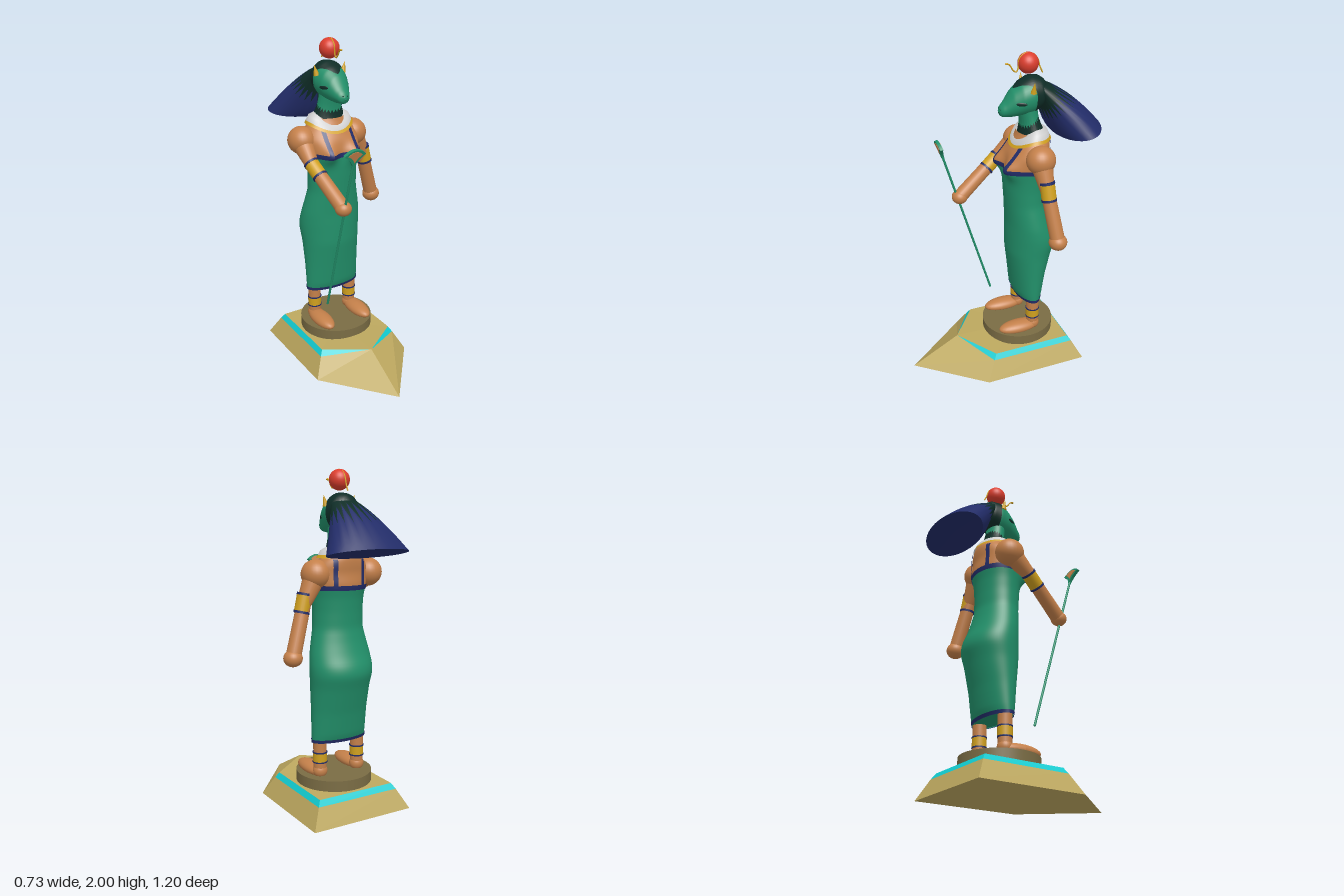
import * as THREE from 'three';

const CX = -0.035; // the figure's own centre line
const mat = (name, color, side = THREE.FrontSide) => {
  const m = new THREE.MeshStandardMaterial({ color, side });
  m.name = name;
  return m;
};
const V = (x, y, z) => new THREE.Vector3(x, y, z);

// Linear table lookup on column 0, softened over a small width
function sample(table, v, w) {
  const at = (k) => {
    let i = 0;
    while (i < table.length - 2 && (k - table[i + 1][0]) * Math.sign(table[1][0] - table[0][0]) > 0) i++;
    const a = table[i], b = table[i + 1];
    const t = THREE.MathUtils.clamp((k - a[0]) / (b[0] - a[0]), 0, 1);
    return a.map((n, j) => n + (b[j] - n) * t);
  };
  const s = [at(v - w), at(v), at(v + w)];
  return s[0].map((_, j) => (s[0][j] + s[1][j] + s[2][j]) / 3);
}

// Skin a list of rings, each ring an array of [x, y, z]
function loft(rings, closed = true, flat = false) {
  const n = rings[0].length, index = [];
  for (let j = 0; j < rings.length - 1; j++)
    for (let i = 0; i < (closed ? n : n - 1); i++) {
      const a = j * n + i, b = j * n + (i + 1) % n;
      index.push(a, a + n, b, b, a + n, b + n);
    }
  let g = new THREE.BufferGeometry();
  g.setAttribute('position', new THREE.Float32BufferAttribute(rings.flat(2), 3));
  g.setIndex(index);
  if (flat) g = g.toNonIndexed();
  g.computeVertexNormals();
  return g;
}
// Grid of rings from a rule f(t, angle, i)
const surface = (rows, seg, f) => loft(Array.from({ length: rows + 1 }, (_, j) =>
  Array.from({ length: seg }, (_, i) => f(j / rows, (i / seg) * Math.PI * 2, i))));
const lerp = THREE.MathUtils.lerp;

// Body cross-sections: y, centre z, half width, half depth
const BODY = [[0.42, -0.175, 0.178, 0.07], [0.45, -0.175, 0.18, 0.087], [0.6, -0.18, 0.182, 0.11],
  [0.75, -0.19, 0.188, 0.14], [0.83, -0.203, 0.196, 0.154], [0.88, -0.2, 0.197, 0.151],
  [0.95, -0.185, 0.19, 0.135], [1.02, -0.172, 0.175, 0.126], [1.1, -0.16, 0.157, 0.12],
  [1.2, -0.157, 0.155, 0.125], [1.28, -0.158, 0.16, 0.13], [1.35, -0.168, 0.17, 0.135],
  [1.42, -0.172, 0.18, 0.122], [1.47, -0.19, 0.16, 0.11], [1.51, -0.2, 0.125, 0.1], [1.54, -0.2, 0.1, 0.085]];
function bodyPoint(y, a, off = 0) {
  const [, zc, hw, hd] = sample(BODY, y, 0.015);
  const x = Math.cos(a) * (hw + off);
  let z = zc + Math.sin(a) * (hd + off);
  if (Math.sin(a) > 0)
    z += 0.055 * Math.exp(-(((Math.abs(x) - 0.09) / 0.05) ** 2) - ((y - 1.345) / 0.055) ** 2);
  return [CX + x, y, z];
}
// Head cross-sections: z, centre y, half width, half height
const HEAD = [[0.006, 1.68, 0.002, 0.002], [0.002, 1.68, 0.022, 0.022], [-0.012, 1.682, 0.038, 0.036],
  [-0.03, 1.69, 0.047, 0.046], [-0.07, 1.717, 0.068, 0.077], [-0.12, 1.74, 0.09, 0.096],
  [-0.18, 1.757, 0.1, 0.109], [-0.235, 1.768, 0.09, 0.092], [-0.27, 1.775, 0.06, 0.06], [-0.29, 1.78, 0.002, 0.002]];
function headPoint(z, a, off = 0) {
  const [, yc, hw, hh] = sample(HEAD, z, 0.004);
  return [CX + Math.cos(a) * (hw + off), yc + Math.sin(a) * (hh + off), z];
}
const NECK = [[1.48, -0.205, 0.115, 0.095], [1.55, -0.197, 0.1, 0.07], [1.6, -0.185, 0.078, 0.056],
  [1.65, -0.175, 0.07, 0.055], [1.74, -0.165, 0.065, 0.06]];
function neckPoint(y, a) {
  const [, zc, hw, hd] = sample(NECK, y, 0.012);
  return [CX + Math.cos(a) * hw, y, zc + Math.sin(a) * hd];
}

export function createModel() {
  const root = new THREE.Group();
  root.name = 'statue';
  const skin = mat('skin', 0xc4804a), green = mat('green', 0x22906a, THREE.DoubleSide),
    navy = mat('navy', 0x222c68, THREE.DoubleSide), dark = mat('darkGreen', 0x0f2d27, THREE.DoubleSide),
    gold = mat('gold', 0xd0a01e), white = mat('white', 0xcfcfcf, THREE.DoubleSide),
    cyan = mat('cyan', 0x12cdd2), red = mat('red', 0xdc3e2e),
    stone = mat('sandstone', 0xbda85f), darkStone = mat('darkStone', 0x7a6c44);

  const add = (name, geo, m, parent = root) => {
    const mesh = new THREE.Mesh(geo, m);
    mesh.name = name;
    parent.add(mesh);
    return mesh;
  };
  const ball = (name, p, sx, sy, sz, m) => {
    const b = add(name, new THREE.SphereGeometry(1, 28, 18), m);
    b.position.copy(p);
    b.scale.set(sx, sy, sz);
    return b;
  };
  const rod = (name, a, b, ra, rb, m) => {
    const d = b.clone().sub(a);
    const c = add(name, new THREE.CylinderGeometry(rb, ra, d.length(), 24), m);
    c.position.copy(a).add(b).multiplyScalar(0.5);
    c.quaternion.setFromUnitVectors(V(0, 1, 0), d.normalize());
  };
  // Gold bracelet with a navy line at each end
  const bracelet = (name, a, b, r) => {
    const at = (t) => a.clone().lerp(b, t);
    rod(name, a, b, r, r, gold);
    rod(name + 'Edge', at(-0.06), at(0.07), r + 0.002, r + 0.002, navy);
    rod(name + 'Edge', at(0.93), at(1.06), r + 0.002, r + 0.002, navy);
  };

  // Pointed plinth with a bevelled inlay, and a round step
  const plan = (hw, zs, za, zb, y, ya) => [[CX + hw, y, zs], [CX, ya, za], [CX - hw, y, zs], [CX - hw, y, zb], [CX + hw, y, zb]];
  const point = (y) => Array(5).fill([CX, y, -0.1]);
  const foot = plan(0.33, 0.2, 0.6, -0.46, 0, 0);
  const low = plan(0.27, 0.14, 0.3, -0.4, 0.115, 0.163);
  const top = plan(0.25, 0.12, 0.3, -0.378, 0.148, 0.163);
  add('plinth', loft([point(0), foot, low], true, true), stone);
  add('plinthInlay', loft([low, top], true, true), cyan);
  add('plinthTop', loft([top, point(0.15)], true, true), stone);
  add('roundStep', new THREE.CylinderGeometry(0.23, 0.23, 0.065, 48), darkStone).position.set(CX, 0.18, -0.125);

  // Legs and feet
  for (const s of [-1, 1]) {
    const x = CX + s * 0.13;
    rod('leg', V(x, 0.22, -0.177), V(x, 0.5, -0.177), 0.039, 0.041, skin);
    bracelet('anklet', V(x, 0.295, -0.177), V(x, 0.355, -0.177), 0.042);
    const f = new THREE.SphereGeometry(1, 28, 18), p = f.attributes.position;
    for (let i = 0; i < p.count; i++) p.setY(i, Math.max(p.getY(i), -0.45));
    f.computeVertexNormals();
    const m = add('foot', f, skin);
    m.position.set(x + s * 0.004, 0.231, -0.082);
    m.scale.set(0.057, 0.04, 0.135);
    ball('heel', V(x, 0.24, -0.178), 0.045, 0.045, 0.043, skin);
  }

  // Dress, its borders and the bare upper torso
  const tube = (y0, y1, rows, off) => surface(rows, 64, (t, a) => bodyPoint(lerp(y0, y1, t), a, off));
  add('dress', tube(0.42, 1.335, 48, 0), green);
  add('dressBottom', surface(1, 64, (t, a) => {
    const p = bodyPoint(0.425, a);
    return [lerp(CX, p[0], t), p[1], lerp(-0.175, p[2], t)];
  }), green);
  add('hem', tube(0.418, 0.438, 2, 0.004), navy);
  add('torso', tube(1.325, 1.54, 20, -0.001), skin);
  add('neckline', tube(1.322, 1.35, 3, 0.004), navy);
  for (const s of [-1, 1]) for (const face of [-1, 1]) {
    const rows = Array.from({ length: 15 }, (_, j) => [-0.012, 0, 0.012].map((d) => {
      const y = lerp(1.335, 1.5, j / 14), hw = sample(BODY, y, 0.015)[2];
      return bodyPoint(y, face * Math.acos((s * 0.09 + d) / (hw + 0.005)), 0.005);
    }));
    add('strap', loft(rows, false), navy);
  }

  // Broad collar, higher at the back: half width, front z, back z, front y, side y, back y
  const collarRing = ([hw, zf, zb, yf, ys, yb]) => Array.from({ length: 48 }, (_, i) => {
    const a = (i / 48) * Math.PI * 2, s = Math.sin(a);
    return [CX + hw * Math.cos(a), ys + (s > 0 ? yf - ys : yb - ys) * s * s, (zf + zb) / 2 + s * (zf - zb) / 2];
  });
  const c0 = [0.152, -0.068, -0.308, 1.455, 1.505, 1.505], c1 = [0.142, -0.08, -0.3, 1.47, 1.522, 1.522],
    c2 = [0.128, -0.095, -0.288, 1.5, 1.55, 1.548], c3 = [0.09, -0.135, -0.26, 1.525, 1.57, 1.56];
  add('collarEdge', loft([c0, c1].map(collarRing)), gold).material = gold;
  add('collar', loft([c1, c2, c3].map(collarRing)), white);

  // Neck with a toothed dark wrap
  const wrapY = (a, i) => 1.605 - 0.03 * Math.sin(a) + (i % 2 ? 0.012 : -0.008);
  add('neckWrap', surface(6, 48, (t, a, i) => neckPoint(lerp(1.48, wrapY(a, i), t), a)), dark);
  add('neck', surface(6, 48, (t, a, i) => neckPoint(lerp(wrapY(a, i), 1.74, t), a)), green);

  // Head, pointed cap, eyes, mouth and ears
  add('head', surface(44, 40, (t, a) => headPoint(lerp(0.006, -0.29, t * (0.6 + 0.4 * t)), a)), green);
  add('cap', surface(14, 48, (t, a) =>
    headPoint(lerp(-0.19 + 0.11 * Math.max(0, Math.sin(a)) ** 4, -0.29, t), a, 0.004)), dark);
  for (const s of [-1, 1]) {
    ball('eye', V(CX + s * 0.08, 1.732, -0.102), 0.005, 0.011, 0.032, dark).rotation.y = -s * 0.45;
    ball('nostril', V(CX + s * 0.014, 1.693, -0.001), 0.005, 0.003, 0.004, dark);
    const ear = add('ear', new THREE.ConeGeometry(0.018, 0.065, 12), gold);
    ear.position.set(CX + s * 0.096, 1.825, -0.17);
    ear.rotation.z = -s * 0.25;
  }
  ball('mouth', V(CX, 1.67, 0), 0.016, 0.002, 0.004, dark);

  // Flared headdress: dark pleat spikes running into navy
  const flare = (t, a) => {
    const c = Math.cos(a), s = Math.sin(a);
    return [CX + lerp(0.095, 0.257, t) * c,
      lerp(1.785 + 0.055 * s, 1.5375 + 0.0325 * s, t) + t * (1 - t) * 0.14 * s,
      lerp(-0.235, -0.47 - 0.13 * s, t)];
  };
  const spike = (a, i) => (i % 2 ? 0.18 : 0.42 + 0.2 * Math.max(0, Math.sin(a)));
  add('headdressSpikes', surface(6, 44, (t, a, i) => flare(t * spike(a, i), a)), dark);
  add('headdress', surface(8, 44, (t, a, i) => flare(lerp(spike(a, i), 1, t), a)), navy);
  add('headdressUnderside', surface(3, 44, (t, a) => {
    const p = flare(1, a);
    return [lerp(p[0], CX, t), lerp(p[1], 1.5375, t) + 0.02 * t, lerp(p[2], -0.47, t)];
  }), navy);

  // Sun disc ball with a serpent over it
  ball('sun', V(CX, 1.94, -0.172), 0.06, 0.06, 0.06, red);
  const path = [[-0.042, 1.947], [-0.06, 1.94], [-0.08, 1.91], [-0.1, 1.895], [-0.112, 1.915], [-0.117, 1.965],
    [-0.145, 1.993], [-0.172, 1.996], [-0.205, 1.986], [-0.23, 1.955], [-0.245, 1.91], [-0.262, 1.875]]
    .map(([z, y]) => V(CX, y, z));
  add('serpent', new THREE.TubeGeometry(new THREE.CatmullRomCurve3(path), 60, 0.004, 8), gold);
  ball('serpentHead', V(CX, 1.947, -0.044), 0.008, 0.006, 0.01, gold);

  // Arms: shoulder, elbow, wrist, hand
  const arm = (sh, el, ha, handR, b0, b1) => {
    ball('shoulder', sh, 0.084, 0.084, 0.088, skin);
    rod('upperArm', sh, el, 0.068, 0.041, skin);
    ball('elbow', el, 0.041, 0.041, 0.041, skin);
    rod('forearm', el, ha, 0.041, 0.044, skin);
    ball('hand', ha, handR, handR * 0.9, handR, skin);
    bracelet('armlet', b0, b1, 0.044);
  };
  arm(V(0.132, 1.415, -0.19), V(0.215, 1.25, -0.2), V(0.305, 0.955, -0.235), 0.055,
    V(0.207, 1.305, -0.198), V(0.232, 1.205, -0.203));
  arm(V(-0.222, 1.415, -0.19), V(-0.232, 1.31, -0.06), V(-0.177, 1.105, 0.205), 0.049,
    V(-0.232, 1.31, -0.06), V(-0.216, 1.25, 0.015));

  // Staff with a fan-shaped flower
  const base = V(-0.177, 0.39, 0.012), tip = V(-0.177, 1.42, 0.312);
  rod('staff', base, tip, 0.007, 0.007, green);
  const flower = new THREE.Group();
  flower.name = 'flower';
  flower.position.set(-0.177, 1.385, 0.302);
  flower.rotation.x = 0.283;
  root.add(flower);
  const fan = (w, y0, yc, yt, d) => {
    const s = new THREE.Shape();
    s.moveTo(0, y0);
    s.quadraticCurveTo(w * 0.3, lerp(y0, yc, 0.65), w, yc);
    s.quadraticCurveTo(w * 0.55, yt, 0, yt);
    s.quadraticCurveTo(-w * 0.55, yt, -w, yc);
    s.quadraticCurveTo(-w * 0.3, lerp(y0, yc, 0.65), 0, y0);
    return new THREE.ExtrudeGeometry(s, { depth: d, bevelEnabled: false, curveSegments: 10 }).translate(0, 0, -d / 2);
  };
  add('petals', fan(0.067, -0.005, 0.078, 0.11, 0.018), green, flower);
  add('flowerHeart', fan(0.045, 0.03, 0.078, 0.1, 0.024), skin, flower);
  return root;
}
